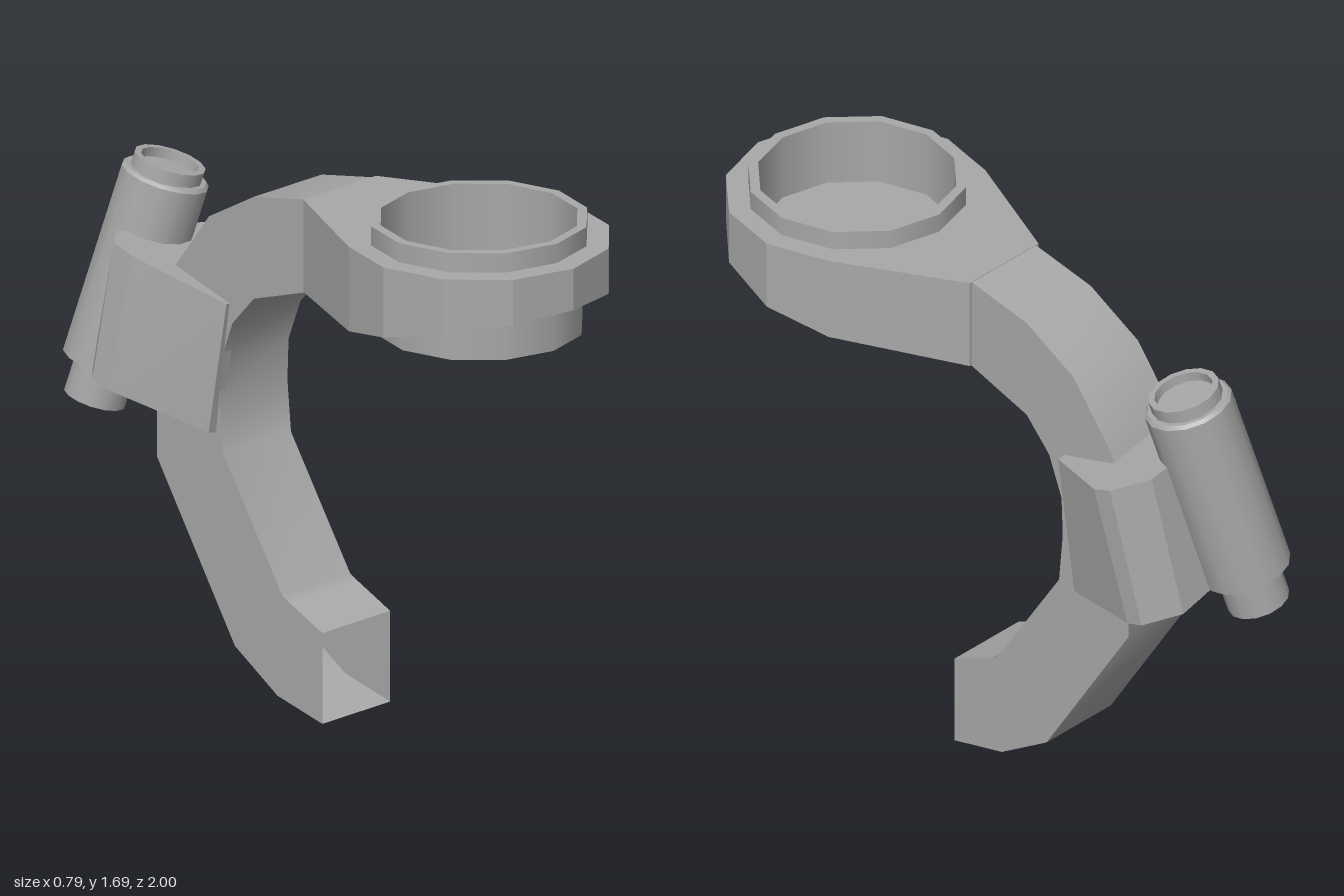
import * as THREE from 'three';
import { mergeGeometries } from 'three/addons/utils/BufferGeometryUtils.js';

// Skin matching cross-sections; each side of the loop is its own strip, so its edges stay sharp.
function loft(sections, capped = false) {
  const n = sections[0].length;
  const parts = [];
  const build = (pos, index) => {
    const g = new THREE.BufferGeometry();
    g.setAttribute('position', new THREE.Float32BufferAttribute(pos, 3));
    g.setIndex(index);
    g.computeVertexNormals();
    parts.push(g);
  };
  for (let j = 0; j < n; j++) {
    const pos = [], index = [];
    sections.forEach((s, i) => {
      pos.push(...s[j], ...s[(j + 1) % n]);
      if (i) {
        const a = 2 * i - 2;
        index.push(a, a + 2, a + 1, a + 1, a + 2, a + 3);
      }
    });
    build(pos, index);
  }
  if (capped) {
    [sections[0], sections[sections.length - 1]].forEach((s, end) => {
      const flat = s.map(([x, , z]) => new THREE.Vector2(x, -z));
      const tris = THREE.ShapeUtils.triangulateShape(flat, []);
      build(s.flat(), tris.flatMap(([a, b, c]) => (end ? [a, c, b] : [a, b, c])));
    });
  }
  return mergeGeometries(parts);
}

// Turned part with sharp steps: one smooth band per profile segment.
function turned(profile, sides = 12) {
  const pts = profile.map(([r, y]) => new THREE.Vector2(r, y));
  return mergeGeometries(pts.slice(1).map((p, i) => new THREE.LatheGeometry([pts[i], p], sides)));
}

export function createModel() {
  const grey = new THREE.MeshStandardMaterial({ color: 0xa8a8a8, side: THREE.DoubleSide });
  const model = new THREE.Group();
  const add = (name, geometry) => {
    const mesh = new THREE.Mesh(geometry, grey);
    mesh.name = name;
    model.add(mesh);
    return mesh;
  };

  // Curved hollow arm, open at its foot: outer z, y then inner z, y
  const W = 0.14;
  const armPath = [
    [0.02, 1.63, 0.02, 1.34], [-0.21, 1.58, -0.21, 1.26], [-0.40, 1.47, -0.30, 1.16],
    [-0.55, 1.27, -0.35, 1.03], [-0.62, 1.03, -0.355, 0.90], [-0.62, 0.66, -0.34, 0.74],
    [-0.29, 0.15, -0.09, 0.36], [-0.11, 0.04, -0.06, 0.345], [0.08, 0, 0.08, 0.285],
  ];
  add('arm', loft(armPath.map(([zo, yo, zi, yi]) =>
    [[W, yo, zo], [-W, yo, zo], [-W, yi, zi], [W, yi, zi]])));

  // Pear-shaped housing with a round opening and a sloping underside
  const cz = 0.6, R = 0.395;
  const outline = new THREE.Shape();
  outline.moveTo(-0.15, -0.01);
  for (let i = -4; i <= 4; i++) {
    const a = (i * Math.PI) / 6;
    outline.lineTo(R * Math.sin(a), -(cz + (R + 0.005) * Math.cos(a)));
  }
  outline.lineTo(0.15, -0.01);
  outline.closePath();
  const hole = new THREE.Path();
  for (let i = 0; i < 12; i++) {
    const a = (i * Math.PI) / 6;
    const x = 0.31 * Math.sin(a), y = -(cz + 0.31 * Math.cos(a));
    if (i) hole.lineTo(x, y); else hole.moveTo(x, y);
  }
  hole.closePath();
  outline.holes.push(hole);
  const housing = new THREE.ExtrudeGeometry(outline, { depth: 1, bevelEnabled: false });
  housing.rotateX(-Math.PI / 2);
  const p = housing.attributes.position;
  for (let i = 0; i < p.count; i++) {
    const z = p.getZ(i);
    const under = z < 0.4 ? 1.34 + 0.065 * z : 1.365 + (z - 0.4) * 0.225;
    p.setY(i, p.getY(i) > 0.5 ? 1.63 : under);
  }
  housing.computeVertexNormals();
  add('housing', housing);

  // Stepped cup with a raised rim, set into the housing
  add('cup', turned([
    [0, 1.31], [0.185, 1.31], [0.185, 1.35], [0.315, 1.35], [0.315, 1.6], [0.33, 1.6],
    [0.33, 1.69], [0.30, 1.69], [0.30, 1.48], [0, 1.48],
  ])).position.z = cz;

  // Clamp gripping both sides of the arm: x, z of its upper and lower outlines
  const upper = [
    [0.10, -0.36], [0.165, -0.36], [0.27, -0.60], [0.265, -0.66], [0.18, -0.75], [-0.18, -0.75],
    [-0.25, -0.69], [-0.25, -0.61], [-0.155, -0.31], [-0.10, -0.32], [-0.10, -0.50], [0.10, -0.50],
  ];
  const lower = [
    [0.10, -0.42], [0.15, -0.41], [0.22, -0.69], [0.215, -0.74], [0.13, -0.83], [-0.20, -0.83],
    [-0.30, -0.73], [-0.30, -0.66], [-0.17, -0.37], [-0.12, -0.37], [-0.10, -0.50], [0.10, -0.50],
  ];
  add('clamp', loft([
    upper.map(([x, z]) => [x, 1.18 - 0.17 * (x - 0.165) - 0.27 * (z + 0.36), z]),
    lower.map(([x, z]) => [x, 0.735 - 0.25 * (x - 0.15) - 0.2 * (z + 0.41), z]),
  ], true));

  // Tilted canister with a lower stub and a recessed top rim
  const foot = new THREE.Vector3(-0.11, 0.89, -0.865);
  const axis = new THREE.Vector3(0.02, 1.48, -0.745).sub(foot);
  const len = axis.length();
  const canister = add('canister', turned([
    [0, -0.12], [0.095, -0.12], [0.095, 0], [0.135, 0], [0.135, len - 0.01], [0.125, len],
    [0.11, len], [0.11, len + 0.04], [0.09, len + 0.04], [0.09, len + 0.01], [0, len + 0.01],
  ], 14));
  canister.position.copy(foot);
  canister.quaternion.setFromUnitVectors(new THREE.Vector3(0, 1, 0), axis.normalize());

  return model;
}
